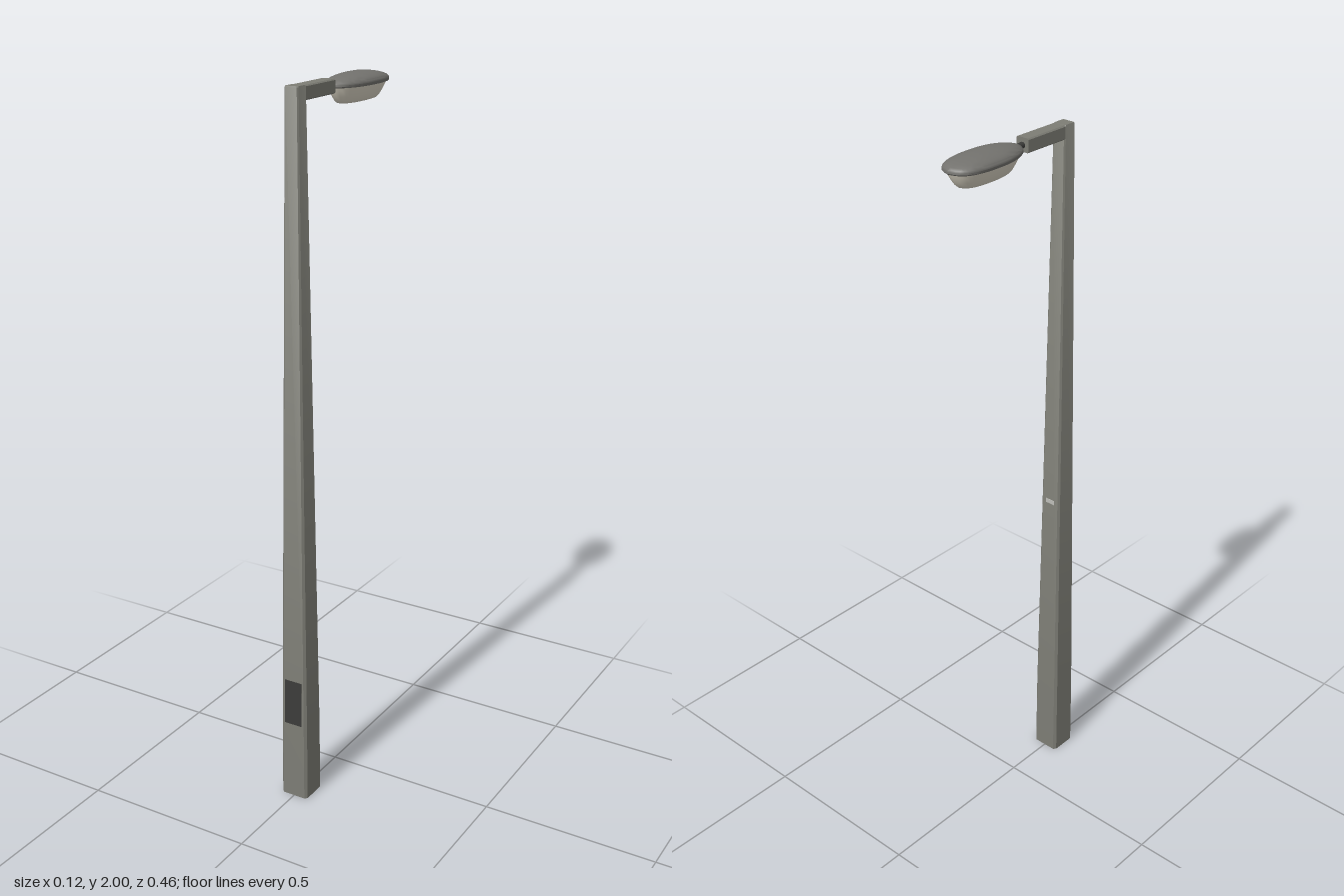
import * as THREE from 'three';
import { toCreasedNormals } from 'three/addons/utils/BufferGeometryUtils.js';

const material = (color, extra = {}) => new THREE.MeshStandardMaterial({ color, ...extra });

// Skin over a closed outline of [x, z] points; rings are [scaleX, scaleZ, y], listed upwards
function loft(outline, rings) {
  const n = outline.length, pos = [], index = [];
  for (const [sx, sz, y] of rings) for (const [x, z] of outline) pos.push(x * sx, y, z * sz);
  for (let i = 0; i < rings.length - 1; i++) {
    for (let j = 0; j < n; j++) {
      const a = i * n + j, b = i * n + (j + 1) % n;
      index.push(a, b, a + n, b, b + n, a + n);
    }
  }
  const g = new THREE.BufferGeometry();
  g.setAttribute('position', new THREE.Float32BufferAttribute(pos, 3));
  g.setIndex(index);
  return toCreasedNormals(g, 0.6);
}

// Square with chamfered corners, half width 1, anticlockwise from above
function chamferedSquare(c) {
  const k = 1 - c;
  return [[-k, 1], [k, 1], [1, k], [1, -k], [k, -1], [-k, -1], [-1, -k], [-1, k]];
}

// Lamp plan: half outline from neck to tip, mirrored; centred on its own middle
const LAMP_Z = -0.106;
function lampOutline() {
  const half = [[0.005, 0.02], [0.016, 0.014], [0.031, 0], [0.046, -0.03], [0.056, -0.075],
    [0.058, -0.12], [0.056, -0.16], [0.046, -0.2], [0.028, -0.222], [0, -0.232]];
  const curve = new THREE.CatmullRomCurve3(half.map(([x, z]) => new THREE.Vector3(x, 0, z - LAMP_Z)));
  const right = curve.getSpacedPoints(28).map(p => [p.x, p.z]);
  const left = right.slice(0, -1).reverse().map(([x, z]) => [-x, z]);
  return [...right, ...left];
}

export function createModel() {
  const group = new THREE.Group();
  const steel = material(0x7d7d75);
  const dark = material(0x3c3c3a);
  const add = (name, geometry, mat, x = 0, y = 0, z = 0) => {
    const mesh = new THREE.Mesh(geometry, mat);
    mesh.name = name;
    mesh.position.set(x, y, z);
    group.add(mesh);
    return mesh;
  };
  const POLE_Z = 0.189;

  // Pole: straight foot, then a long taper
  const section = chamferedSquare(0.17);
  add('pole', loft(section, [
    [0, 0, 0], [0.0415, 0.0415, 0], [0.0405, 0.0405, 0.23],
    [0.02, 0.02, 1.994], [0.018, 0.018, 1.997], [0, 0, 1.997],
  ]), steel, 0, 0, POLE_Z);

  // Horizontal arm
  const arm = loft(section, [[0, 0, 0], [0.0195, 0.0185, 0], [0.0195, 0.0185, 0.17], [0, 0, 0.17]]);
  arm.rotateX(-Math.PI / 2);
  add('arm', arm, steel, 0, 1.978, 0.202);

  // Service door and small plate, lying along the tapered faces
  const taper = 0.0116;
  add('serviceDoor', new THREE.BoxGeometry(0.054, 0.136, 0.004), dark, 0, 0.302, POLE_Z + 0.0395)
    .rotation.x = -taper;
  add('backPlate', new THREE.BoxGeometry(0.03, 0.013, 0.002), material(0xbdbdb8), 0, 0.9, POLE_Z - 0.0328)
    .rotation.x = taper;

  // Spigot between arm and lamp, with a conical collar
  const spigot = new THREE.CylinderGeometry(0.008, 0.008, 0.05, 16);
  spigot.rotateX(Math.PI / 2);
  add('spigot', spigot, dark, 0, 1.977, 0.014);
  const collar = new THREE.CylinderGeometry(0.003, 0.01, 0.025, 16);
  collar.rotateX(Math.PI / 2);
  add('collar', collar, dark, 0, 1.979, 0.007);

  // Lamp housing: shallow dome with a thin rim
  const outline = lampOutline();
  const dome = [[0, 0, 1.972], [0.97, 0.98, 1.97], [1, 1, 1.973], [1, 1, 1.977]];
  for (let i = 1; i <= 8; i++) {
    const a = (i / 8) * Math.PI / 2;
    dome.push([Math.cos(a), Math.cos(a), 1.977 + 0.023 * Math.sin(a)]);
  }
  add('lampHousing', loft(outline, dome), material(0x73726e, { side: THREE.DoubleSide }), 0, 0, LAMP_Z);

  // Lamp bowl: pale diffuser with sloping sides and a flat underside
  add('lampBowl', loft(outline, [
    [0, 0, 1.926], [0.4, 0.62, 1.9265], [0.52, 0.7, 1.929], [0.6, 0.75, 1.934],
    [0.72, 0.82, 1.946], [0.84, 0.88, 1.96], [0.91, 0.92, 1.972],
  ]), material(0xd9d3c3, { side: THREE.DoubleSide }), 0, 0, LAMP_Z);

  return group;
}
